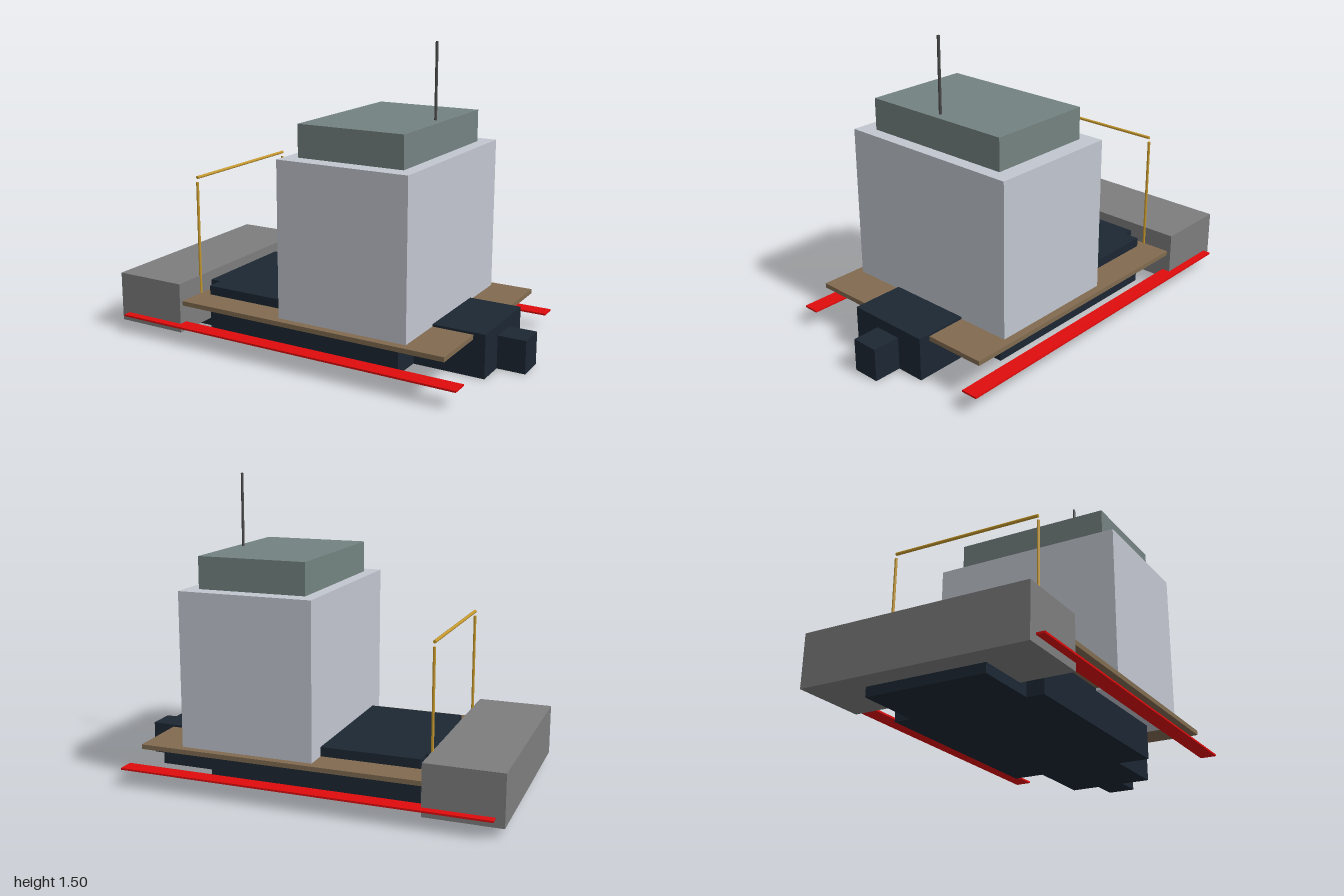
import * as THREE from 'three';

const mat = (color) => new THREE.MeshStandardMaterial({ color });

export function createModel() {
  const model = new THREE.Group();
  model.name = 'vessel';
  const navy = mat(0x1c2733), grey = mat(0x7d7d7d), wood = mat(0x816b50), white = mat(0xc2c6cf);
  const slate = mat(0x738381), red = mat(0xe00c0c), gold = mat(0xc79a2e), dark = mat(0x4a4a4a);

  const add = (name, geometry, material, x, y, z) => {
    const mesh = new THREE.Mesh(geometry, material);
    mesh.name = name;
    mesh.position.set(x, y, z);
    model.add(mesh);
    return mesh;
  };
  // Box between x and y limits, centred on z with a half width
  const block = (name, material, x0, x1, y0, y1, halfZ, z = 0) =>
    add(name, new THREE.BoxGeometry(x1 - x0, y1 - y0, halfZ * 2), material, (x0 + x1) / 2, (y0 + y1) / 2, z);
  const rod = (name, material, r, length, x, y, z) =>
    add(name, new THREE.CylinderGeometry(r, r, length, 8), material, x, y, z);

  // Stepped hull
  block('hull', navy, -0.57, 0.5, 0, 0.25, 0.373);
  block('hullRear', navy, -0.89, -0.57, 0, 0.25, 0.29);
  block('hullFront', navy, 0.5, 0.86, 0, 0.215, 0.216);
  block('hullNose', navy, 0.86, 1, 0, 0.163, 0.07);

  // Deck, rear block and superstructure
  block('deck', wood, -0.63, 0.8, 0.181, 0.204, 0.525);
  block('rearBlock', grey, -1, -0.625, 0.046, 0.297, 0.546);
  block('cabin', white, -0.08, 0.595, 0.17, 0.97, 0.485);
  block('roof', slate, -0.017, 0.53, 0.97, 1.128, 0.4);
  rod('antenna', dark, 0.007, 0.365, 0.488, 1.3125, 0);

  // Side strips and railing posts
  for (const s of [1, -1]) {
    block('sideStrip', red, -0.957, 0.885, 0.083, 0.092, 0.041, s * 0.545);
    rod('railPost', gold, 0.007, 0.625, -0.625, 0.4675, s * 0.377);
  }
  // Cross rail
  rod('crossRail', gold, 0.008, 0.755, -0.625, 0.803, 0).rotation.x = Math.PI / 2;

  return model;
}
